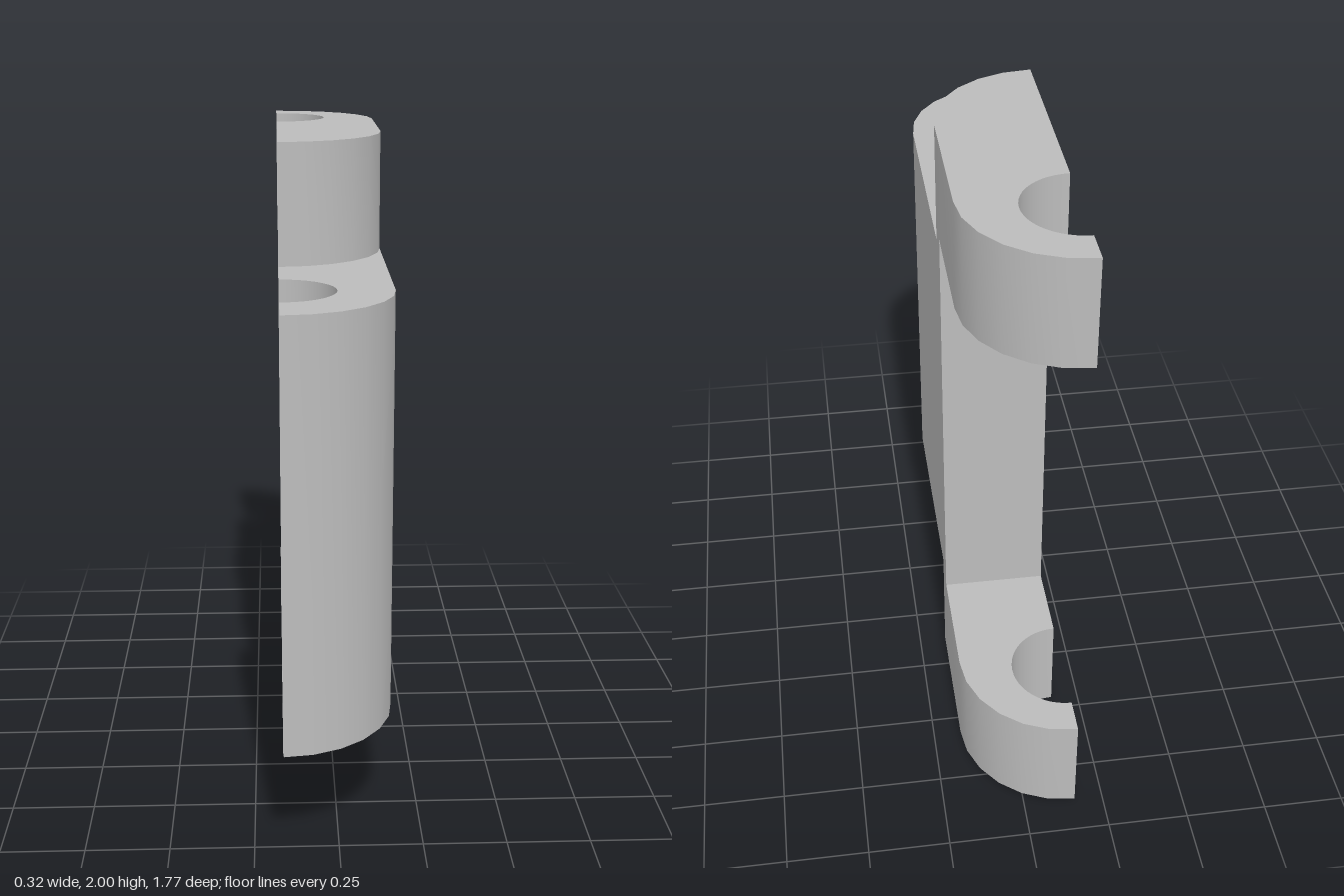
import * as THREE from 'three';
import { mergeGeometries, toCreasedNormals } from 'three/addons/utils/BufferGeometryUtils.js';

const OPEN = -0.162, SIDE = 0.162;   // open back plane and flat outer side (x)
const R = SIDE - OPEN, HOLE = 0.162; // outer rounding and pin hole radii
const REAR = -0.2;                   // rear wall of the central body
const HOOK_BACK = -0.561, HOOK_FRONT = -0.124, HOOK_HOLE = -0.615;
const BODY_FRONT = 0.56, BODY_HOLE = 0.56;
const HOOK_H = 0.325, BODY_Y = 0.368;

// Points [x, z] on an arc centred on the open plane; angle 0 is +x, 90 is +z
function arc(cz, r, from, to, n) {
  return Array.from({ length: n + 1 }, (_, i) => {
    const a = THREE.MathUtils.degToRad(from + (to - from) * i / n);
    return [OPEN + r * Math.cos(a), cz + r * Math.sin(a)];
  });
}

// Upright ribbon following a plan path, facing left of travel
function wall(path, y0, y1) {
  const pos = [];
  for (let i = 0; i < path.length - 1; i++) {
    const [ax, az] = path[i], [bx, bz] = path[i + 1];
    pos.push(ax, y0, az, bx, y1, bz, bx, y0, bz, ax, y0, az, ax, y1, az, bx, y1, bz);
  }
  const g = new THREE.BufferGeometry();
  g.setAttribute('position', new THREE.Float32BufferAttribute(pos, 3));
  g.computeVertexNormals();
  return toCreasedNormals(g, 0.6);
}

// Flat plate with a plan outline, facing up or down
function plate(path, y, up) {
  const s = up ? -1 : 1;
  const shape = new THREE.Shape(path.map(([x, z]) => new THREE.Vector2(x, s * z)));
  const g = new THREE.ShapeGeometry(shape).rotateX(s * Math.PI / 2).translate(0, y, 0).toNonIndexed();
  g.deleteAttribute('uv');
  return g;
}

export function createModel() {
  const group = new THREE.Group();
  const grey = new THREE.MeshStandardMaterial({ color: 0xbcbcbc, side: THREE.DoubleSide });
  grey.name = 'grey';
  const add = (name, parts) => {
    const mesh = new THREE.Mesh(mergeGeometries(parts), grey);
    mesh.name = name;
    group.add(mesh);
  };

  const hookBack = arc(HOOK_BACK, R, -90, 0, 6);
  const hookFront = arc(HOOK_FRONT, R, 0, 90, 6);
  const hookHole = arc(HOOK_HOLE, HOLE, 90, -90, 24);
  const bodyFront = arc(BODY_FRONT, R, 0, 90, 6);
  const bodyHole = arc(BODY_HOLE, HOLE, 90, -90, 24);

  // Upper and lower hooks, open on the flat side
  for (const top of [true, false]) {
    const span = (a, b) => top ? [2 - b, 2 - a] : [a, b];
    const h = span(0, HOOK_H);
    const outer = top ? 2 : 0, inner = top ? 2 - HOOK_H : HOOK_H;
    add(top ? 'upperHook' : 'lowerHook', [
      plate([...hookBack, ...hookFront, ...hookHole], outer, top),
      plate([...hookBack, [SIDE, REAR], [OPEN, REAR], ...hookHole], inner, !top),
      wall([...hookBack, [SIDE, REAR]], ...h),
      wall(hookHole, ...h),
      wall([[SIDE, REAR], ...hookFront], ...span(0, BODY_Y)),
    ]);
  }

  // Central body, open on the flat side and joined to both hooks
  const y0 = BODY_Y, y1 = 2 - BODY_Y;
  const ledge = [...hookFront, ...[...bodyHole].reverse(), ...[...bodyFront].reverse()];
  add('centralBody', [
    wall([[SIDE, REAR], ...bodyFront], y0, y1),
    wall(bodyHole, y0, y1),
    wall([[OPEN, REAR], [SIDE, REAR]], HOOK_H, 2 - HOOK_H),
    plate(ledge, y1, true),
    plate(ledge, y0, false),
  ]);
  return group;
}
